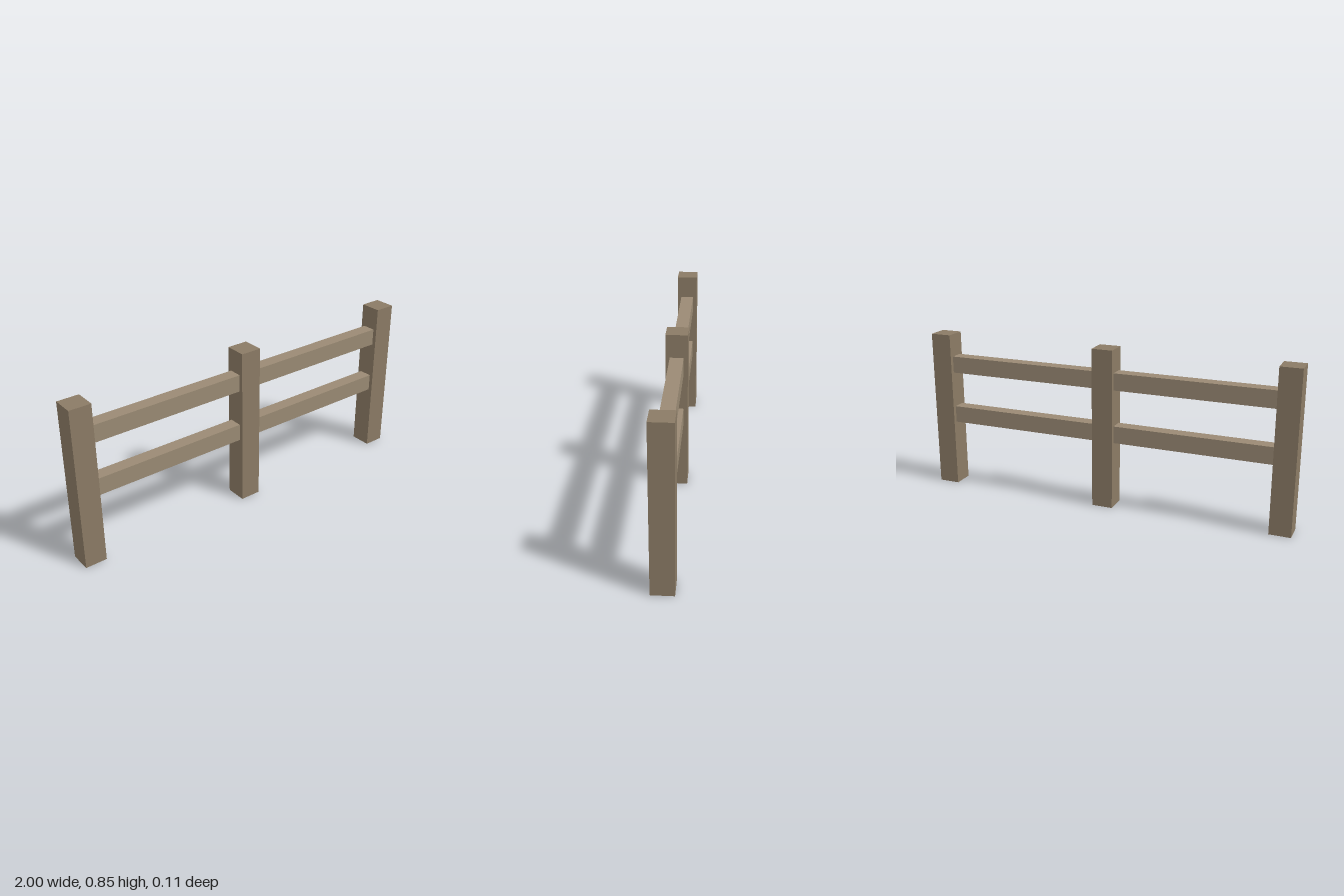
import * as THREE from 'three';

const POST = 0.112, POST_HEIGHT = 0.85, POST_X = 1 - POST / 2;
const RAIL_HEIGHT = 0.09, RAIL_DEPTH = 0.07;

export function createModel() {
  const fence = new THREE.Group();
  fence.name = 'fence';
  const postMaterial = new THREE.MeshStandardMaterial({ color: 0x8b7b65 });
  const railMaterial = new THREE.MeshStandardMaterial({ color: 0x9a8a74 });

  const addBox = (name, size, position, material) => {
    const mesh = new THREE.Mesh(new THREE.BoxGeometry(...size), material);
    mesh.name = name;
    mesh.position.set(...position);
    fence.add(mesh);
  };

  // Three square posts
  const posts = { rightPost: -POST_X, middlePost: 0, leftPost: POST_X };
  for (const [name, x] of Object.entries(posts)) {
    addBox(name, [POST, POST_HEIGHT, POST], [x, POST_HEIGHT / 2, 0], postMaterial);
  }

  // Two rails in each bay, butted against the posts
  const railLength = POST_X - POST;
  for (const [side, sign] of [['right', -1], ['left', 1]]) {
    for (const [level, y] of [['Lower', 0.402], ['Upper', 0.684]]) {
      addBox(`${side}${level}Rail`, [railLength, RAIL_HEIGHT, RAIL_DEPTH], [sign * POST_X / 2, y, 0], railMaterial);
    }
  }
  return fence;
}
